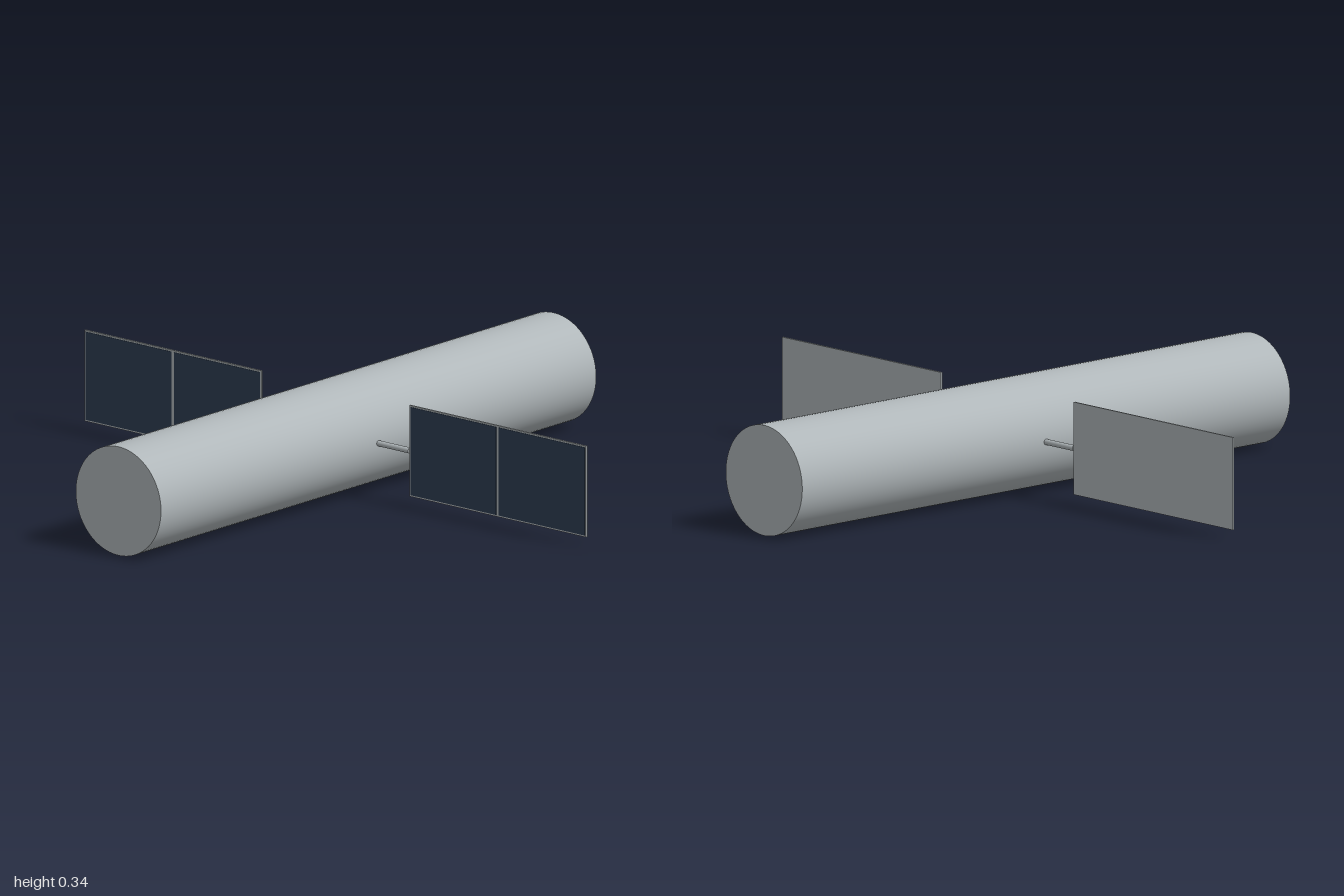
import * as THREE from 'three';

export function createModel() {
  const hullGrey = new THREE.MeshStandardMaterial({ name: 'hullGrey', color: 0xb0b7ba });
  const cellBlue = new THREE.MeshStandardMaterial({ name: 'cellBlue', color: 0x2f3e53 });
  const model = new THREE.Group();
  model.name = 'satellite';
  const R = 0.17, inner = 0.295, outer = 1, height = 0.285, gap = 0.01, margin = 0.005;

  const add = (parent, name, geometry, material, x, y, z) => {
    const mesh = new THREE.Mesh(geometry, material);
    mesh.name = name;
    mesh.position.set(x, y, z);
    parent.add(mesh);
    return mesh;
  };

  // Long cylindrical hull along z
  add(model, 'hull', new THREE.CylinderGeometry(R, R, 2, 64).rotateX(Math.PI / 2), hullGrey, 0, R, 0);

  // Mirrored wings: strut, backing panel and two cells on the front
  for (const side of [1, -1]) {
    const wing = new THREE.Group();
    wing.name = side > 0 ? 'leftWing' : 'rightWing';
    model.add(wing);

    const strutStart = R - 0.02;
    add(wing, 'strut',
      new THREE.CylinderGeometry(0.009, 0.009, inner - strutStart, 16).rotateZ(Math.PI / 2),
      hullGrey, side * (strutStart + inner) / 2, R + 0.002, 0);

    const middle = (inner + outer) / 2;
    add(wing, 'panel', new THREE.BoxGeometry(outer - inner, height, 0.006), hullGrey, side * middle, R + 0.002, 0);

    const cellWidth = (outer - inner - gap) / 2 - margin;
    for (const half of [-1, 1]) {
      add(wing, half < 0 ? 'innerCell' : 'outerCell',
        new THREE.BoxGeometry(cellWidth, height - 2 * margin, 0.002), cellBlue,
        side * (middle + half * (gap + cellWidth) / 2), R + 0.002, 0.0035);
    }
  }
  return model;
}
